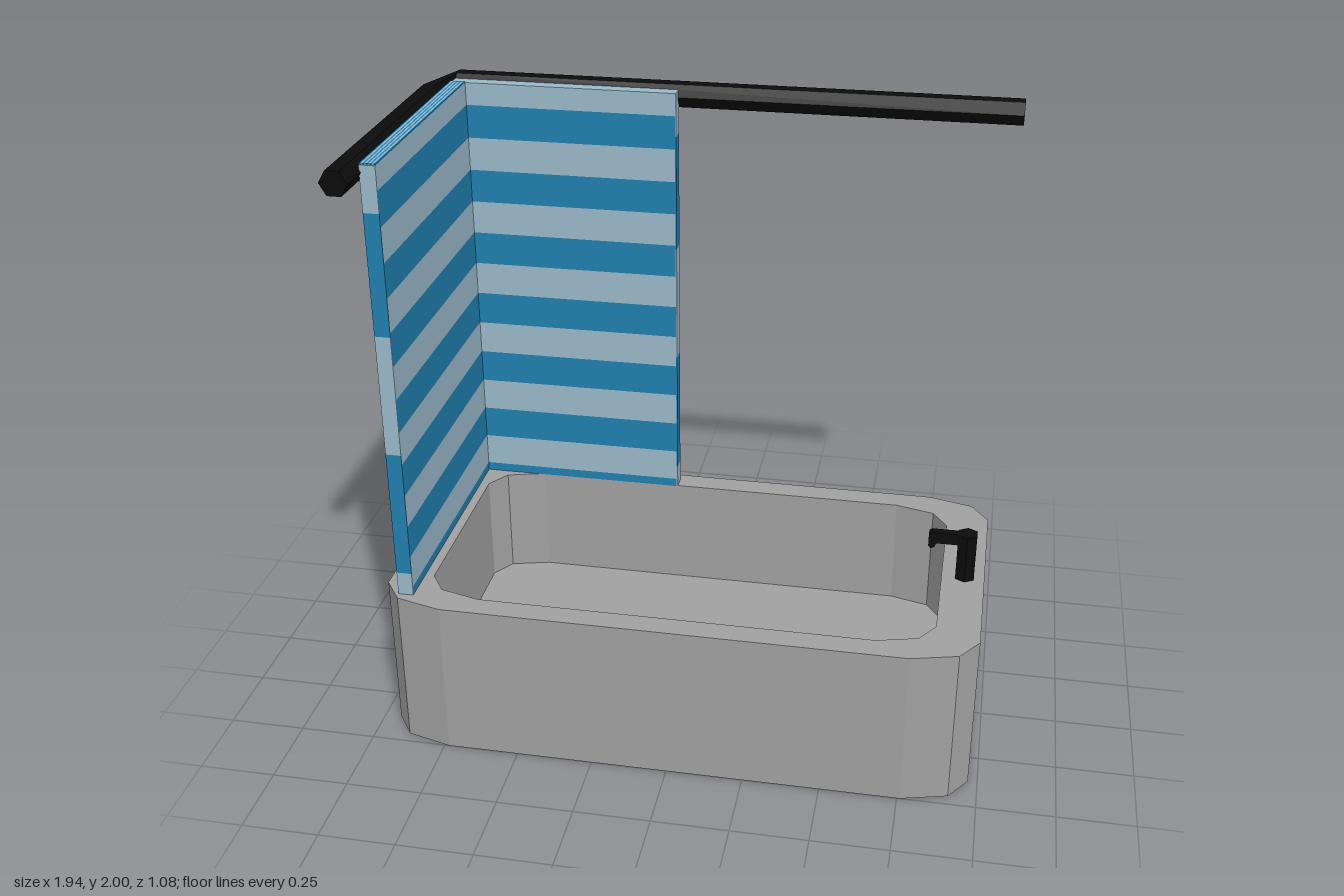
import * as THREE from 'three';

const mat = (name, color) => {
  const m = new THREE.MeshStandardMaterial({ color });
  m.name = name;
  return m;
};

export function createModel() {
  const grey = mat('tub grey', 0xa2a2a2);
  const blue = mat('stripe blue', 0x2080b0);
  const pale = mat('stripe pale blue', 0x9bbacb);
  const black = mat('fitting black', 0x0c0c0c);

  const model = new THREE.Group();
  model.name = 'bathtubWithCurtain';

  const add = (parent, name, geometry, material) => {
    const mesh = new THREE.Mesh(geometry, material);
    mesh.name = name;
    parent.add(mesh);
    return mesh;
  };
  const group = (name) => {
    const g = new THREE.Group();
    g.name = name;
    model.add(g);
    return g;
  };
  // Box given by its extents on each axis
  const box = (parent, name, [x0, x1], [y0, y1], [z0, z1], material) => {
    const mesh = add(parent, name, new THREE.BoxGeometry(x1 - x0, y1 - y0, z1 - z0), material);
    mesh.position.set((x0 + x1) / 2, (y0 + y1) / 2, (z0 + z1) / 2);
  };

  // Rectangle with two-step clipped corners, in plan (shape y is -z)
  const outline = (x0, x1, z0, z1, steps) => {
    const cx = (x0 + x1) / 2, cz = (z0 + z1) / 2;
    const hx = (x1 - x0) / 2, hz = (z1 - z0) / 2;
    const pts = [];
    for (const [sx, sy] of [[1, 1], [-1, 1], [-1, -1], [1, -1]]) {
      const corner = steps.map(([dx, dz]) =>
        new THREE.Vector2(cx + sx * (hx - dx), -cz + sy * (hz - dz)));
      pts.push(...(sx * sy > 0 ? corner : corner.reverse()));
    }
    return pts;
  };
  const rise = (shape, y0, y1) =>
    new THREE.ExtrudeGeometry(shape, { depth: y1 - y0, bevelEnabled: false })
      .rotateX(-Math.PI / 2).translate(0, y0, 0);

  // Tub: solid base and a hollow wall
  const rimY = 0.54, floorY = 0.16;
  const outer = outline(-0.945, 0.97, -0.51, 0.5, [[0, 0.125], [0.06, 0.04], [0.21, 0]]);
  const inner = outline(-0.81, 0.83, -0.43, 0.42, [[0, 0.11], [0.05, 0.035], [0.18, 0]]);
  const wall = new THREE.Shape(outer);
  wall.holes.push(new THREE.Path(inner));
  const tub = group('tub');
  add(tub, 'tubBase', rise(new THREE.Shape(outer), 0, floorY), grey);
  add(tub, 'tubWall', rise(wall, floorY, rimY), grey);

  // Curtain panels: stacked bands, pale first from the top
  const topY = 1.985;
  const bands = [topY];
  for (let i = 0; i < 13; i++) bands.push(1.91 - i * 0.1117);
  bands.push(rimY);
  const edgeBands = [topY, 1.84, 1.45, 1.05, 0.62, rimY];
  const striped = (parent, name, levels, xs, zs) => {
    for (let i = 0; i < levels.length - 1; i++) {
      box(parent, name, xs, [levels[i + 1], levels[i]], zs, i % 2 ? blue : pale);
    }
  };
  const backX = [-0.89, -0.14], backZ = [-0.475, -0.425];
  const sideX = [-0.89, -0.84], sideZ = [-0.425, 0.43];
  const edge = 0.004;
  const curtain = group('curtain');
  striped(curtain, 'backCurtain', bands, backX, backZ);
  striped(curtain, 'sideCurtain', bands, sideX, sideZ);

  // Wide bands on the free edges
  striped(curtain, 'backCurtainEdge', edgeBands, [backX[1], backX[1] + edge], backZ);
  striped(curtain, 'sideCurtainEdge', edgeBands, sideX, [sideZ[1], sideZ[1] + edge]);

  // Fine lengthwise stripes along the top of the side panel
  const fine = 9, step = (sideX[1] - sideX[0]) / fine;
  for (let i = 0; i < fine; i++) {
    const x = sideX[0] + i * step;
    box(curtain, 'sideCurtainTop', [x, x + step], [topY, topY + edge], sideZ, i % 2 ? pale : blue);
  }

  // Rod: hexagonal section swept around a clipped corner; [x, z, outward x, outward z]
  const r = 0.0433, rodY = 1.9625;
  const rings = [[0.97, -0.5, 0, -1], [-0.885, -0.5, 0, -1], [-0.928, -0.33, -1, 0], [-0.928, 0.54, -1, 0]];
  const pos = [], index = [];
  rings.forEach(([x, z, nx, nz], i) => {
    for (let k = 0; k < 6; k++) {
      const c = r * Math.cos(k * Math.PI / 3), s = r * Math.sin(k * Math.PI / 3);
      pos.push(x + nx * c, rodY + s, z + nz * c);
      if (i < rings.length - 1) {
        const a = i * 6 + k, b = i * 6 + (k + 1) % 6;
        index.push(a, a + 6, b, b, a + 6, b + 6);
      }
    }
  });
  const last = (rings.length - 1) * 6;
  for (let k = 1; k < 5; k++) index.push(0, k, k + 1, last, last + k + 1, last + k);
  let rod = new THREE.BufferGeometry();
  rod.setAttribute('position', new THREE.Float32BufferAttribute(pos, 3));
  rod.setIndex(index);
  rod = rod.toNonIndexed();
  rod.computeVertexNormals();
  add(model, 'curtainRod', rod, black);

  // Tap: hexagonal post and a hooked spout
  const tap = group('tap');
  const post = new THREE.CylinderGeometry(0.035, 0.035, 0.165, 6).toNonIndexed();
  post.computeVertexNormals();
  add(tap, 'tapPost', post, black).position.set(0.905, rimY + 0.0825, 0);
  const spout = new THREE.Shape([
    [0.89, 0.665], [0.89, 0.704], [0.79, 0.704], [0.78, 0.697],
    [0.78, 0.655], [0.787, 0.645], [0.8, 0.65], [0.805, 0.665],
  ].map(([x, y]) => new THREE.Vector2(x, y)));
  add(tap, 'tapSpout',
    new THREE.ExtrudeGeometry(spout, { depth: 0.028, bevelEnabled: false }).translate(0, 0, -0.014), black);

  return model;
}
